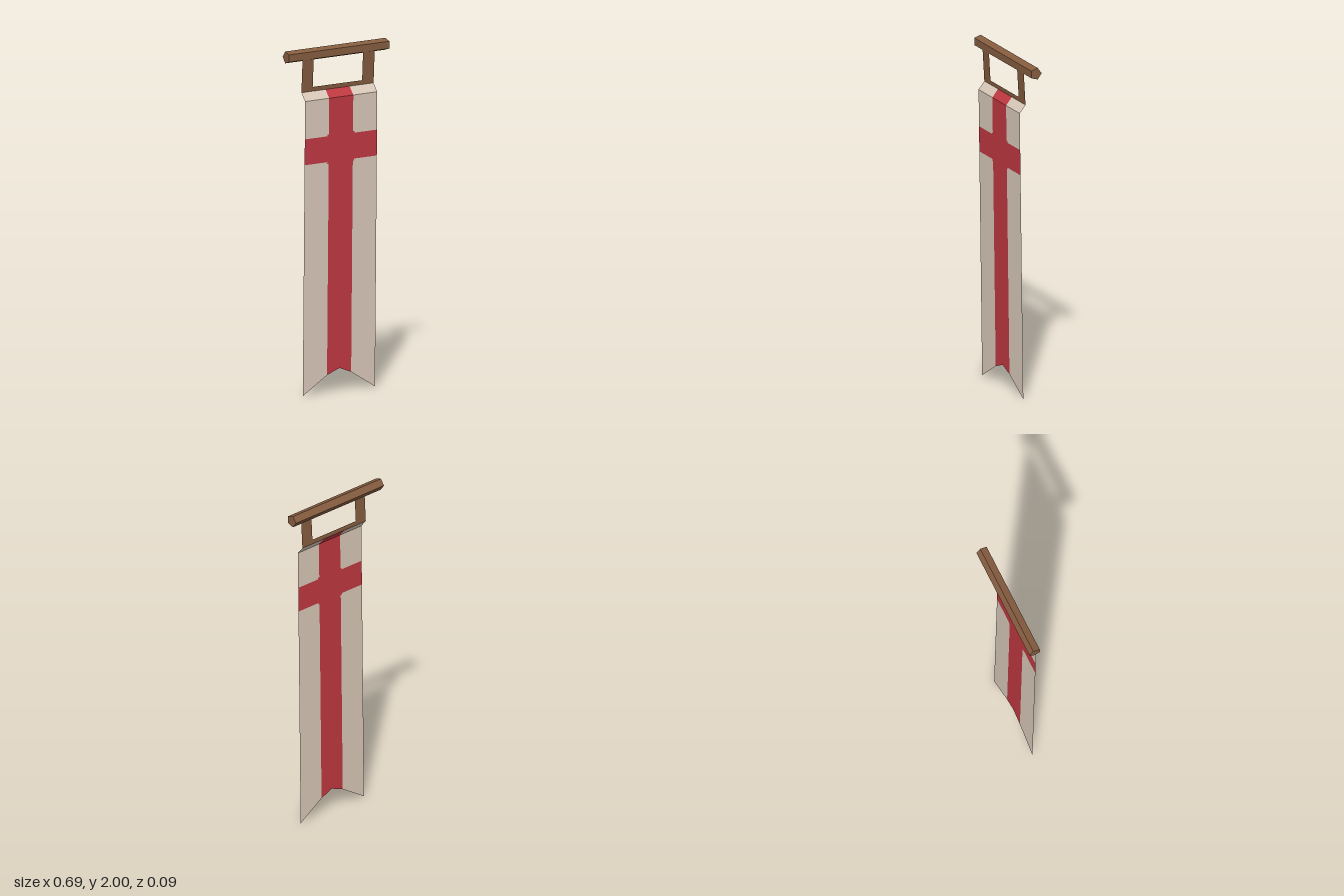
import * as THREE from 'three';

const make = (name, color) => {
  const m = new THREE.MeshStandardMaterial({ color, side: THREE.DoubleSide });
  m.name = name;
  return m;
};

// Depth of the hanging sheet at each height: [y, z]
const DRAPE = [[0, 0.02], [1.71, 0.043], [1.755, 0.006], [1.96, 0.018]];

function drapeZ(y) {
  for (let i = 1; i < DRAPE.length; i++) {
    const [y0, z0] = DRAPE[i - 1], [y1, z1] = DRAPE[i];
    if (y <= y1 + 1e-6) return z0 + (z1 - z0) * (y - y0) / (y1 - y0);
  }
  return DRAPE[DRAPE.length - 1][1];
}

// Flat outline in x and y, laid onto the drape
function sheet(name, points, material) {
  const shape = new THREE.Shape(points.map(([x, y]) => new THREE.Vector2(x, y)));
  const geo = new THREE.ShapeGeometry(shape).toNonIndexed();
  const p = geo.attributes.position;
  for (let i = 0; i < p.count; i++) p.setZ(i, drapeZ(p.getY(i)));
  geo.computeVertexNormals();
  const mesh = new THREE.Mesh(geo, material);
  mesh.name = name;
  return mesh;
}

const rect = (x0, x1, y0, y1) => [[x0, y0], [x1, y0], [x1, y1], [x0, y1]];

export function createModel() {
  const group = new THREE.Group();
  group.name = 'hangingBanner';
  const wood = make('brownWood', 0x865d40);
  const cloth = make('paleCloth', 0xdccbbb);
  const red = make('redCloth', 0xc23942);

  // Five-sided pole with its flat side to the front
  const poleGeo = new THREE.CylinderGeometry(0.036, 0.036, 0.69, 5)
    .rotateY(Math.PI).rotateZ(Math.PI / 2).toNonIndexed();
  poleGeo.computeVertexNormals();
  const pole = new THREE.Mesh(poleGeo, wood);
  pole.name = 'pole';
  pole.position.set(0, 1.9658, -0.009);
  group.add(pole);

  const L = -0.251, R = 0.246;      // cloth edges
  const a = -0.085, b = 0.081;      // upright stripe edges
  const fold = 1.71, top = 1.755;   // folded top band
  const low = 1.34, high = 1.49;    // crossbar edges
  const n = 0.01;                   // small steps at the crossing

  // Straps and the rail between them
  group.add(
    sheet('rightStrap', rect(L, -0.174, 1.78, 1.96), wood),
    sheet('leftStrap', rect(0.166, R, 1.78, 1.96), wood),
    sheet('strapRail', rect(L, R, top, 1.78), wood),
  );

  // Folded top band
  group.add(
    sheet('rightTopBand', rect(L, a, fold, top), cloth),
    sheet('leftTopBand', rect(b, R, fold, top), cloth),
    sheet('topBandStripe', rect(a, b, fold, top), red),
  );

  // Pale panels on either side, with notched inner corners
  for (const [side, outer, inner, d] of [['right', L, a, -n], ['left', R, b, n]]) {
    group.add(
      sheet(side + 'UpperPanel', [[outer, high], [inner + d, high], [inner + d, high + n],
        [inner, high + n], [inner, fold], [outer, fold]], cloth),
      sheet(side + 'LowerPanel', [[outer, 0], [inner, 0.103], [inner, low - n],
        [inner + d, low - n], [inner + d, low], [outer, low]], cloth),
    );
  }

  // Red cross with a peaked lower end
  group.add(sheet('cross', [
    [a, 0.103], [0, 0.135], [b, 0.103], [b, low - n], [b + n, low - n], [b + n, low],
    [R, low], [R, high], [b + n, high], [b + n, high + n], [b, high + n], [b, fold],
    [a, fold], [a, high + n], [a - n, high + n], [a - n, high], [L, high], [L, low],
    [a - n, low], [a - n, low - n], [a, low - n],
  ], red));

  return group;
}
